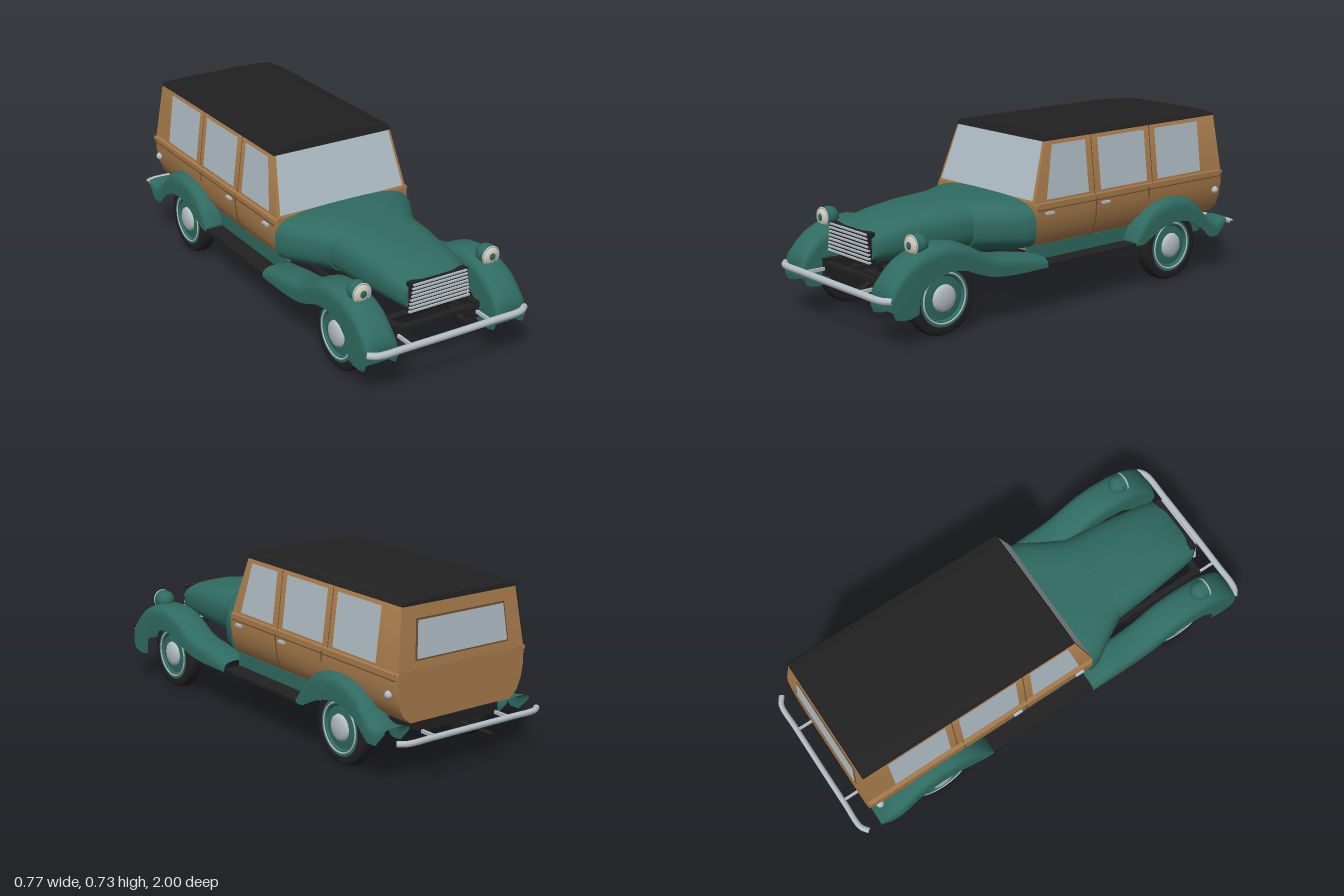
import * as THREE from 'three';
import { toCreasedNormals } from 'three/addons/utils/BufferGeometryUtils.js';

const mat = (name, color, side = THREE.FrontSide) => {
  const m = new THREE.MeshStandardMaterial({ color, side });
  m.name = name;
  return m;
};
const M = {
  green: mat('green paint', 0x2f6b62, THREE.DoubleSide),
  wood: mat('wood', 0xa87c4c),
  seam: mat('dark wood', 0x6e4f2e),
  black: mat('black', 0x212121),
  glass: mat('glass', 0xb0bec6, THREE.DoubleSide),
  chrome: mat('chrome', 0xb4bec4),
  cream: mat('lamp lens', 0xd6cdba),
};

// Skin a list of equal-length rings of [x, y, z]
function loft(rings, { closed = true, capStart = true, capEnd = true, crease = 0.6 } = {}) {
  const n = rings[0].length, pos = rings.flat(), idx = [];
  const span = closed ? n : n - 1;
  for (let r = 0; r < rings.length - 1; r++)
    for (let i = 0; i < span; i++) {
      const a = r * n + i, b = r * n + (i + 1) % n;
      idx.push(a, b, a + n, b, b + n, a + n);
    }
  const cap = (r, flip) => {
    const c = [0, 1, 2].map(k => rings[r].reduce((s, p) => s + p[k], 0) / n);
    const ci = pos.push(c) - 1;
    for (let i = 0; i < n; i++) {
      const a = r * n + i, b = r * n + (i + 1) % n;
      idx.push(ci, flip ? a : b, flip ? b : a);
    }
  };
  if (capStart) cap(0, false);
  if (capEnd) cap(rings.length - 1, true);
  // turn the faces outward
  const v = pos.map(p => new THREE.Vector3(...p));
  let vol = 0;
  for (let i = 0; i < idx.length; i += 3)
    vol += v[idx[i]].dot(v[idx[i + 1]].clone().cross(v[idx[i + 2]]));
  if (vol < 0) idx.reverse();
  const g = new THREE.BufferGeometry().setFromPoints(v);
  g.setIndex(idx);
  return toCreasedNormals(g, crease);
}

// Rounded cross-section: half width, bottom, top, squareness
function oval(z, hw, y0, y1, p = 2.8, n = 40) {
  const pw = t => Math.sign(t) * Math.pow(Math.abs(t), 2 / p);
  return Array.from({ length: n }, (_, i) => {
    const a = (i / n) * Math.PI * 2;
    return [hw * pw(Math.cos(a)), (y0 + y1) / 2 + (y1 - y0) / 2 * pw(Math.sin(a)), z];
  });
}

const mirrored = half => [...half, ...half.filter(p => p[0] > 0).reverse().map(([x, y]) => [-x, y])];

// Slanted planes of the glasshouse
const frontZ = y => 0.2 - (y - 0.455) * 0.33;
const backZ = y => -0.915 + (y - 0.455) * 0.1;
const sideX = y => 0.318 - (y - 0.455) * 0.1265;

export function createModel() {
  const car = new THREE.Group();
  car.name = 'woodenWagon';
  const add = (name, geo, m, x = 0, y = 0, z = 0, parent = car) => {
    const mesh = new THREE.Mesh(geo, m);
    mesh.name = name;
    mesh.position.set(x, y, z);
    parent.add(mesh);
    return mesh;
  };
  const box = (name, m, w, h, d, x, y, z) => add(name, new THREE.BoxGeometry(w, h, d), m, x, y, z);
  const tube = (name, m, pts, r, seg = 24) => add(name, new THREE.TubeGeometry(
    new THREE.CatmullRomCurve3(pts.map(p => new THREE.Vector3(...p)), false, 'centripetal'), seg, r, 10), m);
  const rod = (name, m, r, len, axis, x, y, z) => {
    const g = new THREE.CylinderGeometry(r, r, len, 14);
    axis === 'x' ? g.rotateZ(Math.PI / 2) : g.rotateX(Math.PI / 2);
    return add(name, g, m, x, y, z);
  };
  // Flat panel laid onto a plane of the body
  const panel = (name, m, pts, map) => {
    const g = new THREE.ShapeGeometry(new THREE.Shape(pts.map(p => new THREE.Vector2(...p))));
    const p = g.attributes.position;
    for (let i = 0; i < p.count; i++) p.setXYZ(i, ...map(p.getX(i), p.getY(i)));
    g.computeVertexNormals();
    return add(name, g, m);
  };

  // Wooden lower body
  const flank = [[0.26, 0.25], [0.297, 0.28], [0.318, 0.33], [0.328, 0.39], [0.326, 0.445], [0.318, 0.455]];
  const lower = mirrored(flank);
  add('lowerBody', loft([0.2, -0.88, -0.915].map((z, i) =>
    lower.map(([x, y]) => [x * (i === 2 ? 0.98 : 1), y, z]))), M.wood);

  // Glasshouse and roof share the same slanted ends and drooping tail
  const house = (half, grow) => {
    const ring = mirrored(half);
    const droop = y => (y > 0.7 ? 0.7 + (y - 0.7) * 0.55 : y);
    return loft([
      ring.map(([x, y]) => [x, y, frontZ(y) + grow]),
      ring.map(([x, y]) => [x, y, -0.72]),
      ring.map(([x, y]) => [x, droop(y), backZ(y) - grow]),
    ]);
  };
  add('glasshouse', house([[0.318, 0.455], [0.287, 0.7], [0.275, 0.717], [0.22, 0.724], [0.1, 0.727]], 0), M.wood);
  add('roof', house([[0.284, 0.7], [0.291, 0.704], [0.281, 0.721], [0.225, 0.73], [0.1, 0.735]], 0.004), M.black);

  // Windows
  panel('windshield', M.glass,
    mirrored([[0.303, 0.466], [0.276, 0.697], [0.262, 0.711], [0.2, 0.717], [0.1, 0.719]]),
    (x, y) => [x, y, frontZ(y) + 0.003]);
  panel('rearWindowFrame', M.seam, mirrored([[0.236, 0.49], [0.222, 0.65]]), (x, y) => [-x, y, backZ(y) - 0.003]);
  panel('rearWindow', M.glass, mirrored([[0.228, 0.497], [0.215, 0.643]]), (x, y) => [-x, y, backZ(y) - 0.006]);
  const sideWindows = [
    [[0.135, 0.465], [-0.1, 0.465], [-0.1, 0.685], [0.085, 0.685]],
    [[-0.17, 0.465], [-0.445, 0.465], [-0.445, 0.685], [-0.17, 0.685]],
    [[-0.51, 0.465], [-0.78, 0.465], [-0.78, 0.685], [-0.51, 0.685]],
  ];

  // Cowl and bonnet
  add('cowl', loft([oval(0.2, 0.33, 0.245, 0.468, 3.4), oval(0.25, 0.318, 0.245, 0.472, 3.2),
    oval(0.34, 0.262, 0.25, 0.475, 2.9), oval(0.43, 0.212, 0.255, 0.475)]), M.green);
  add('bonnet', loft([oval(0.43, 0.21, 0.262, 0.478), oval(0.58, 0.197, 0.264, 0.472), oval(0.72, 0.18, 0.268, 0.456),
    oval(0.81, 0.168, 0.272, 0.438), oval(0.86, 0.158, 0.277, 0.42), oval(0.878, 0.147, 0.283, 0.409, 3.5)]), M.green);

  // Grille
  box('grilleBack', M.black, 0.272, 0.122, 0.03, 0, 0.349, 0.876);
  for (let i = 0; i < 8; i++)
    box('grilleBar', M.chrome, 0.288 - i * 0.005, 0.007, 0.012, 0, 0.294 + i * 0.0158, 0.893);

  // Fender: arch section swept through stations of [z, top, bottom]
  const fender = (s, xin, xout, stations) => loft(stations.map(([z, top, bot]) => {
    const w = xout - xin, h = Math.min(0.05, (top - bot) * 0.8);
    const ring = [[s * xout, bot, z]];
    for (let i = 0; i <= 12; i++) {
      const a = (i / 12) * Math.PI, c = Math.cos(a);
      const px = Math.sign(c) * Math.pow(Math.abs(c), 0.65);
      ring.push([s * (xin + w / 2 + px * w / 2), top - h + h * Math.pow(Math.sin(a), 0.8), z]);
    }
    ring.push([s * xin, bot, z]);
    return ring;
  }), { closed: false, capEnd: false, crease: 0.9 });
  const frontStations = [[0.957, 0.235, 0.16], [0.945, 0.262, 0.13], [0.91, 0.3, 0.12], [0.87, 0.335, 0.12],
    [0.835, 0.352, 0.13], [0.825, 0.357, 0.2], [0.77, 0.375, 0.25], [0.68, 0.381, 0.273], [0.6, 0.366, 0.262],
    [0.54, 0.337, 0.235], [0.48, 0.303, 0.215], [0.42, 0.286, 0.205], [0.35, 0.278, 0.2], [0.27, 0.264, 0.2], [0.18, 0.243, 0.2]];
  const rearStations = [[-0.335, 0.225, 0.2], [-0.38, 0.298, 0.2], [-0.43, 0.343, 0.225], [-0.5, 0.37, 0.258],
    [-0.58, 0.378, 0.273], [-0.66, 0.367, 0.262], [-0.72, 0.338, 0.235], [-0.77, 0.285, 0.19], [-0.8, 0.25, 0.165],
    [-0.85, 0.238, 0.165], [-0.905, 0.245, 0.225]];

  // Wheel, outer face toward +x
  const spun = pts => new THREE.LatheGeometry(pts.map(p => new THREE.Vector2(...p)), 40).rotateZ(-Math.PI / 2);
  const tyreGeo = toCreasedNormals(spun([[0, -0.02], [0.1, -0.02], [0.11, -0.032], [0.135, -0.033], [0.149, -0.027],
    [0.155, -0.014], [0.155, 0.014], [0.149, 0.027], [0.135, 0.033], [0.113, 0.03], [0.11, 0.01]]), 0.7);
  const discGeo = toCreasedNormals(spun([[0.116, 0.012], [0.116, 0.031], [0.095, 0.031], [0.088, 0.022], [0.055, 0.026], [0, 0.026]]), 0.5);
  const capGeo = spun([[0.056, 0.024], [0.053, 0.034], [0.04, 0.041], [0.02, 0.045], [0, 0.046]]);
  const ringGeo = new THREE.TorusGeometry(0.102, 0.004, 8, 40).rotateY(Math.PI / 2);
  const wheel = (name, s, z) => {
    const g = new THREE.Group();
    g.name = name;
    add('tyre', tyreGeo, M.black, 0, 0, 0, g);
    add('wheelDisc', discGeo, M.green, 0, 0, 0, g);
    add('hubcap', capGeo, M.chrome, 0, 0, 0, g);
    add('trimRing', ringGeo, M.chrome, 0.031, 0, 0, g);
    g.position.set(s * 0.307, 0.156, z);
    if (s < 0) g.rotation.y = Math.PI;
    car.add(g);
  };

  for (const s of [1, -1]) {
    add('frontFender', fender(s, 0.235, 0.38, frontStations), M.green);
    add('rearFender', fender(s, 0.25, 0.372, rearStations), M.green);
    wheel('frontWheel', s, 0.68);
    wheel('rearWheel', s, -0.583);

    for (const w of sideWindows)
      panel('sideWindow', M.glass, w, (z, y) => [s * (sideX(y) + 0.002), y, z]);
    // Belt moulding, door seams, handles and tail lamps
    box('beltMoulding', M.wood, 0.012, 0.014, 1.1, s * 0.328, 0.447, -0.36);
    box('lowerMoulding', M.seam, 0.004, 0.004, 1.1, s * 0.3285, 0.427, -0.36);
    for (const [z, from] of [[-0.135, 0], [-0.45, 3]])
      tube('doorSeam', M.seam, flank.slice(from).map(([x, y]) => [s * x, y, z]), 0.003);
    for (const z of [-0.135, -0.478])
      tube('pillarSeam', M.seam, [0.455, 0.7].map(y => [s * (sideX(y) - 0.001), y, z]), 0.0025, 2);
    for (const z of [0.13, -0.185]) box('doorHandle', M.chrome, 0.012, 0.01, 0.04, s * 0.334, 0.412, z);
    add('tailLamp', new THREE.SphereGeometry(0.017, 16, 12), M.chrome, s * 0.326, 0.365, -0.87);

    // Headlamp
    const shell = add('headlampShell', new THREE.SphereGeometry(0.042, 28, 18), M.green, s * 0.307, 0.385, 0.785);
    shell.scale.z = 1.05;
    rod('headlampBarrel', M.green, 0.041, 0.026, 'z', s * 0.307, 0.385, 0.8);
    add('headlampRim', new THREE.TorusGeometry(0.039, 0.004, 8, 32), M.chrome, s * 0.307, 0.385, 0.814);
    const lens = add('headlampLens', new THREE.SphereGeometry(0.038, 28, 14), M.cream, s * 0.307, 0.385, 0.812);
    lens.scale.z = 0.4;

    // Sill, running board and chassis rail
    box('sill', M.green, 0.03, 0.065, 0.6, s * 0.275, 0.238, -0.1);
    box('runningBoard', M.black, 0.125, 0.012, 0.55, s * 0.308, 0.205, -0.08);
    box('chassisRail', M.black, 0.025, 0.04, 1.79, s * 0.188, 0.222, -0.005);
    box('springHanger', M.black, 0.025, 0.07, 0.05, s * 0.188, 0.21, 0.865);
    box('frontSpring', M.black, 0.022, 0.018, 0.4, s * 0.188, 0.178, 0.68);
    box('rearSpring', M.black, 0.022, 0.018, 0.45, s * 0.188, 0.178, -0.583);
    box('frontBumperBracket', M.chrome, 0.01, 0.014, 0.09, s * 0.188, 0.203, 0.93);
    box('rearBumperBracket', M.chrome, 0.01, 0.014, 0.07, s * 0.188, 0.203, -0.94);
  }

  // Bumpers with swept-back ends
  tube('frontBumper', M.chrome, [[-0.375, 0.203, 0.955], [-0.34, 0.203, 0.98], [-0.2, 0.203, 0.985],
    [0.2, 0.203, 0.985], [0.34, 0.203, 0.98], [0.375, 0.203, 0.955]], 0.0145, 48);
  tube('rearBumper', M.chrome, [[-0.36, 0.203, -0.96], [-0.325, 0.203, -0.983], [-0.2, 0.203, -0.985],
    [0.2, 0.203, -0.985], [0.325, 0.203, -0.983], [0.36, 0.203, -0.96]], 0.0125, 48);

  // Running gear
  for (const z of [0.88, 0.42, 0.1, -0.25, -0.8]) box('crossMember', M.black, 0.38, 0.016, 0.03, 0, 0.227, z);
  rod('frontAxle', M.black, 0.015, 0.56, 'x', 0, 0.155, 0.68);
  rod('rearAxle', M.black, 0.015, 0.56, 'x', 0, 0.155, -0.583);
  add('differential', new THREE.SphereGeometry(0.05, 24, 16), M.black, 0, 0.15, -0.583);
  rod('driveShaft', M.black, 0.011, 1.0, 'z', 0, 0.165, -0.08);
  box('rearTank', M.black, 0.4, 0.05, 0.1, 0, 0.226, -0.855);
  tube('exhaust', M.black, [[-0.08, 0.158, 0.54], [-0.11, 0.145, 0.3], [-0.14, 0.132, 0.08],
    [-0.14, 0.131, -0.4], [-0.14, 0.131, -0.95]], 0.009, 40);
  return car;
}
